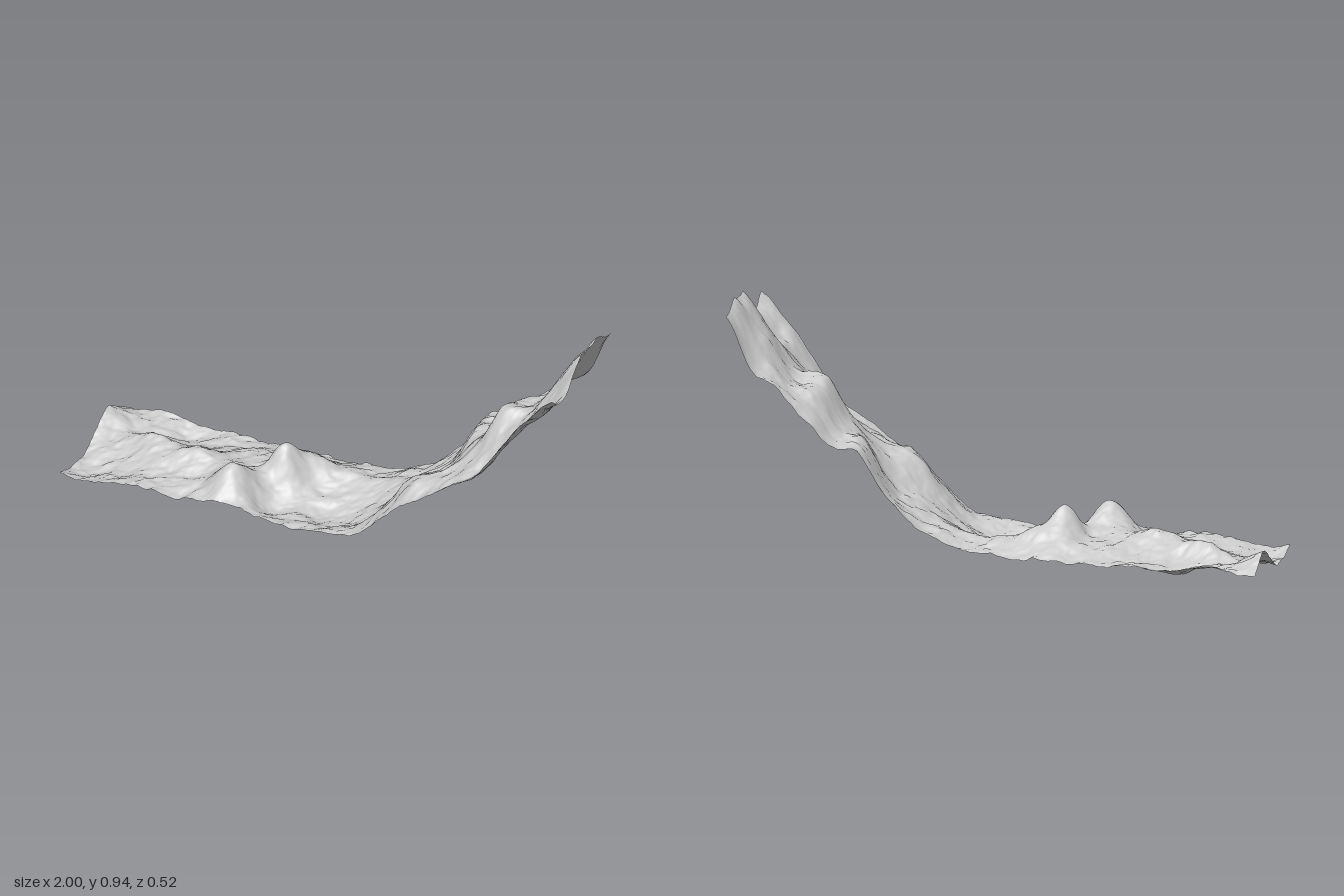
import * as THREE from 'three';

const WIDTH = 2, DEPTH = 0.52, NX = 280, NZ = 76;

// Cross-section heights every 0.1 along x, each sampled from back edge to front edge
const SECTIONS = [
  [.05, .125, .045, .015, .055], [.07, .08, .05, .02, .055], [.08, .065, .08, .04, .065],
  [.045, .045, .09, .07, .08], [.055, .07, .11, .085, .075], [.055, .075, .115, .085, .08],
  [.06, .09, .115, .13, .085], [.06, .11, .115, .13, .09], [.07, .135, .125, .055, .08],
  [.065, .125, .08, .045, .08], [.07, .11, .055, .045, .085], [.085, .11, .07, .065, .09],
  [.12, .14, .125, .12, .12], [.17, .18, .19, .23, .21], [.28, .25, .27, .34, .29],
  [.42, .41, .37, .38, .36], [.44, .48, .50, .44, .43], [.54, .60, .64, .50, .49],
  [.64, .65, .67, .62, .64], [.71, .80, .81, .73, .76], [.92, .945, .945, .84, .88],
];

// Local crests: x, z, added height, radius in x, radius in z
const CRESTS = [
  [-.36, .16, .075, .07, .07], [-.23, -.03, .085, .065, .065], [-.14, -.1, .03, .07, .05],
  [-.75, -.04, .035, .09, .04], [-.56, .02, .03, .07, .05], [.36, .14, .02, .05, .06],
  [.52, -.1, .025, .05, .09], [.67, 0, .025, .045, .13], [.87, .2, .025, .04, .09],
];

// Smooth curve through evenly spaced values, t in 0..1
function spline(values, t) {
  const last = values.length - 1;
  const f = Math.min(t, 0.999999) * last, i = Math.floor(f), u = f - i;
  const at = k => values[Math.max(0, Math.min(last, k))];
  const [a, b, c, d] = [at(i - 1), at(i), at(i + 1), at(i + 2)];
  return b + 0.5 * u * (c - a + u * (2 * a - 5 * b + 4 * c - d + u * (3 * (b - c) + d - a)));
}

// Seeded lattice value in -1..1
function hash(i, j) {
  let h = Math.imul(i, 374761393) + Math.imul(j, 668265263) + 1442695;
  h = Math.imul(h ^ (h >>> 13), 1274126177);
  return ((h ^ (h >>> 16)) >>> 0) / 2147483648 - 1;
}

function noise(x, z) {
  const i = Math.floor(x), j = Math.floor(z);
  const ease = t => t * t * (3 - 2 * t);
  const u = ease(x - i), v = ease(z - j), mix = THREE.MathUtils.lerp;
  return mix(mix(hash(i, j), hash(i + 1, j), u), mix(hash(i, j + 1), hash(i + 1, j + 1), u), v);
}

// Erosion detail in several octaves, drawn out along x and skewed
function roughness(x, z) {
  let sum = 0, size = 0.08, amp = 0.012;
  for (let k = 0; k < 4; k++) {
    sum += amp * noise(x / (1.3 * size) + 17 * k, (z + 0.3 * x) / size + 31 * k);
    size *= 0.5;
    amp *= 0.55;
  }
  return sum;
}

function height(x, z) {
  const s = (x + WIDTH / 2) / WIDTH, t = (z + DEPTH / 2) / DEPTH;
  let y = spline(SECTIONS.map(row => spline(row, t)), s);
  for (const [cx, cz, h, rx, rz] of CRESTS) {
    y += h * Math.exp(-(((x - cx) / rx) ** 2) - ((z - cz) / rz) ** 2);
  }
  return y + roughness(x, z);
}

export function createModel() {
  const group = new THREE.Group();
  group.name = 'terrainStrip';

  // Flat grid lifted into an open hillside sheet
  const geometry = new THREE.PlaneGeometry(WIDTH, DEPTH, NX, NZ).rotateX(-Math.PI / 2);
  const pos = geometry.attributes.position;
  for (let i = 0; i < pos.count; i++) pos.setY(i, height(pos.getX(i), pos.getZ(i)));
  geometry.computeBoundingBox();
  geometry.translate(0, -geometry.boundingBox.min.y, 0);
  geometry.computeVertexNormals();

  const ground = new THREE.Mesh(geometry, new THREE.MeshStandardMaterial({
    color: 0xcccccc, side: THREE.DoubleSide,
  }));
  ground.name = 'hillside';
  group.add(ground);
  return group;
}
